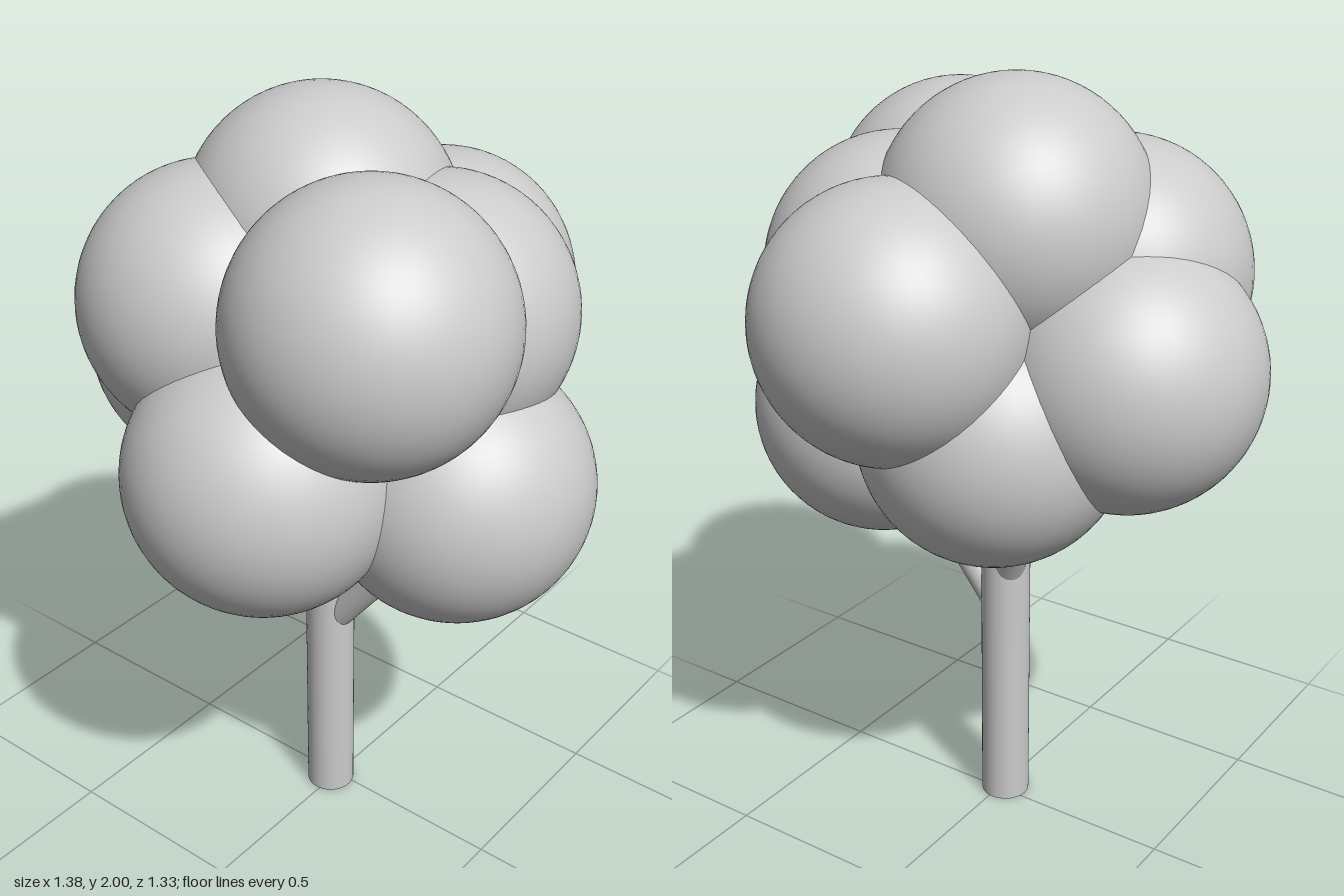
import * as THREE from 'three';

const material = new THREE.MeshStandardMaterial({ color: 0xcccccc });
const UP = new THREE.Vector3(0, 1, 0);

// Straight round limb between two points
function limb(name, from, to, radius) {
  const a = new THREE.Vector3(...from);
  const b = new THREE.Vector3(...to);
  const axis = b.clone().sub(a);
  const mesh = new THREE.Mesh(new THREE.CylinderGeometry(radius, radius, axis.length(), 40), material);
  mesh.position.copy(a).add(b).multiplyScalar(0.5);
  mesh.quaternion.setFromUnitVectors(UP, axis.normalize());
  mesh.name = name;
  return mesh;
}

export function createModel() {
  const tree = new THREE.Group();
  tree.name = 'tree';

  // Trunk and two side branches reaching into the crown
  tree.add(
    limb('trunk', [-0.01, 0, 0.018], [-0.01, 1.3, 0.018], 0.065),
    limb('leftBranch', [0, 0.572, 0.018], [0.31, 0.965, 0.018], 0.043),
    limb('backBranch', [-0.01, 0.66, 0.018], [-0.21, 1.11, -0.153], 0.042),
  );

  // Crown of overlapping leaf balls, all the same size
  const crown = new THREE.Group();
  crown.name = 'crown';
  const ball = new THREE.SphereGeometry(0.339, 64, 40);
  const centres = {
    topFoliage: [-0.07, 1.661, -0.03],
    upperFrontLeftFoliage: [0.267, 1.583, 0.22],
    upperFrontRightFoliage: [-0.22, 1.5, 0.185],
    lowerFrontFoliage: [0.035, 1.175, 0.325],
    lowerLeftFoliage: [0.348, 1.1, -0.025],
    rightFoliage: [-0.35, 1.308, 0.03],
    upperBackFoliage: [0.075, 1.453, -0.327],
    upperLeftFoliage: [0.232, 1.5, -0.085],
    lowerBackFoliage: [-0.08, 1.162, -0.14],
  };
  for (const [name, centre] of Object.entries(centres)) {
    const mesh = new THREE.Mesh(ball, material);
    mesh.position.set(...centre);
    mesh.name = name;
    crown.add(mesh);
  }
  tree.add(crown);
  return tree;
}
